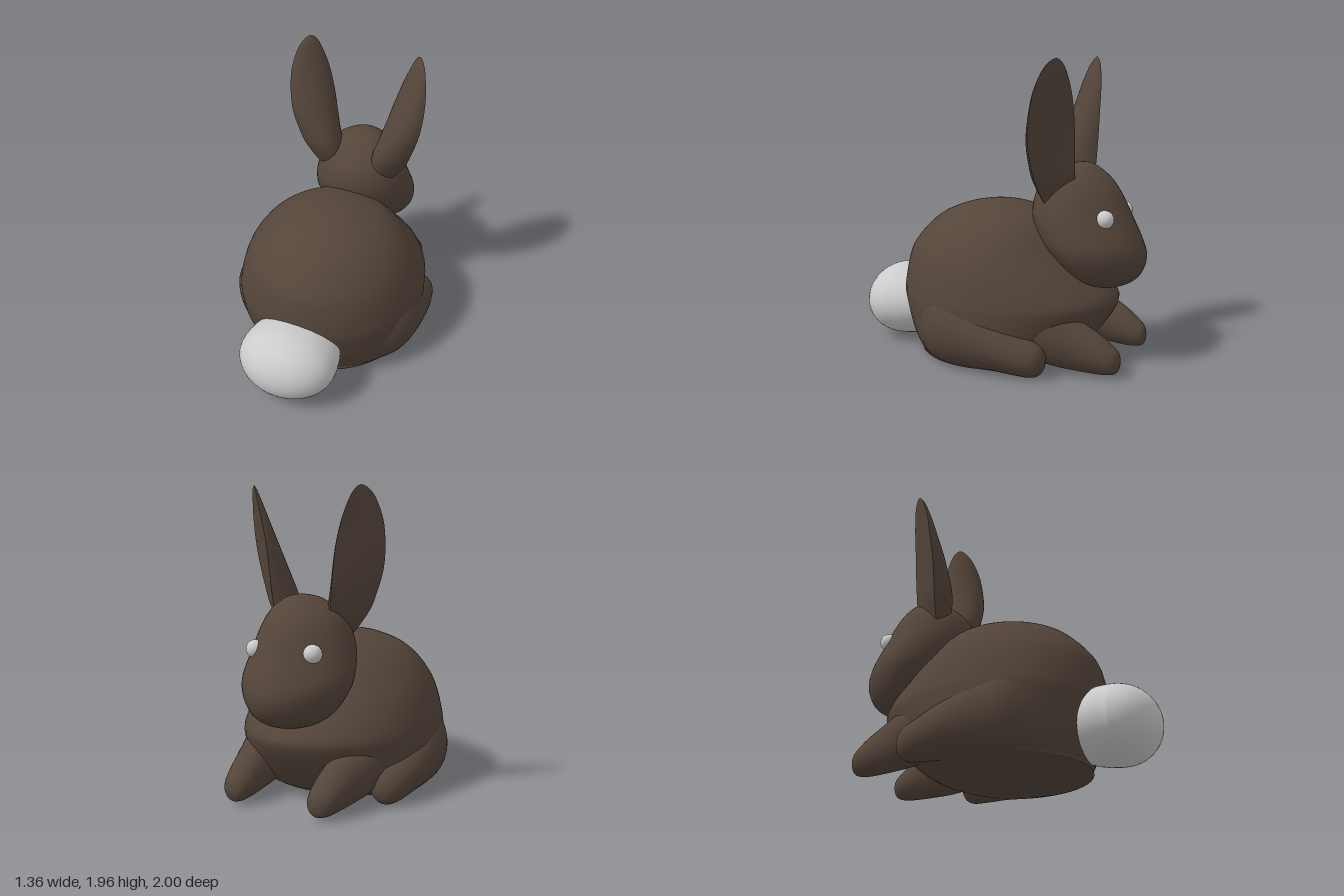
import * as THREE from 'three';
import { toCreasedNormals } from 'three/addons/utils/BufferGeometryUtils.js';

const FUR = new THREE.MeshStandardMaterial({ color: 0x54453a });
const GREY = new THREE.MeshStandardMaterial({ color: 0xcccccc });
const SIDES = 48;

// Smoothly interpolates rows of numbers (Catmull-Rom), giving `steps` rows per gap
function smoothRows(rows, steps) {
  const out = [];
  const row = (i) => rows[Math.min(Math.max(i, 0), rows.length - 1)];
  for (let i = 0; i < rows.length - 1; i++) {
    for (let s = 0; s < steps; s++) {
      const t = s / steps;
      out.push(row(i).map((b, k) => {
        const a = row(i - 1)[k], c = row(i + 1)[k], d = row(i + 2)[k];
        return b + 0.5 * t * (c - a + t * (2 * a - 5 * b + 4 * c - d + t * (3 * (b - c) + d - a)));
      }));
    }
  }
  out.push(rows[rows.length - 1]);
  return out;
}

// Skins a list of closed rings of [x, y, z]; side -1 mirrors the result in x
function loft(rings, side = 1) {
  const n = rings[0].length, pos = [], index = [];
  for (const ring of rings) for (const [x, y, z] of ring) pos.push(side * x, Math.max(y, 0), z);
  for (let i = 0; i < rings.length - 1; i++) {
    for (let j = 0; j < n; j++) {
      const a = i * n + j, b = i * n + (j + 1) % n, c = a + n, d = b + n;
      if (side > 0) index.push(a, c, b, b, c, d);
      else index.push(a, b, c, b, d, c);
    }
  }
  const geo = new THREE.BufferGeometry();
  geo.setAttribute('position', new THREE.Float32BufferAttribute(pos, 3));
  geo.setIndex(index);
  geo.computeVertexNormals();
  return geo;
}

// Horizontal egg slices: [y, back z, front z, half width, z of widest point]
function eggStack(rows, frontPower) {
  return loft(smoothRows(rows, 5).map(([y, zb, zf, w, zm]) =>
    Array.from({ length: SIDES }, (_, j) => {
      const a = (j / SIDES) * Math.PI * 2, c = Math.cos(a), s = Math.sin(a);
      const e = s < 0 ? 2 / frontPower : 1;
      return [
        Math.max(w, 0) * Math.sign(c) * Math.abs(c) ** e, y,
        zm + (s < 0 ? (zf - zm) : (zb - zm)) * Math.abs(s) ** e,
      ];
    })));
}

// Limb running forwards: [z, centre x, centre y, x radius, y radius]
function limb(rows, side) {
  return loft(smoothRows(rows, 5).map(([z, x, y, rx, ry]) =>
    Array.from({ length: 32 }, (_, j) => {
      const a = (j / 32) * Math.PI * 2;
      return [x + Math.max(rx, 0) * Math.cos(a), y + Math.max(ry, 0) * Math.sin(a), z];
    })), side);
}

// Ear with a flat front and a rounded back: [y, outer x, outer z, inner x, inner z, bulge]
function ear(rows, side) {
  const half = 16;
  const rings = smoothRows(rows, 5).map(([y, ox, oz, ix, iz, bulge]) => {
    const mx = (ox + ix) / 2, mz = (oz + iz) / 2, dx = (ox - ix) / 2, dz = (oz - iz) / 2;
    const len = Math.hypot(dx, dz) || 1;
    const ring = [];
    for (let j = 0; j <= half; j++) {
      const a = (j / half) * Math.PI, c = Math.cos(a), s = Math.sin(a) * bulge / len;
      ring.push([mx + dx * c - dz * s, y, mz + dz * c + dx * s]);
    }
    for (let j = 1; j < 6; j++) {
      const c = -1 + j / 3;
      ring.push([mx + dx * c, y, mz + dz * c]);
    }
    return ring;
  });
  return toCreasedNormals(loft(rings, side), 0.7);
}

export function createModel() {
  const model = new THREE.Group();
  const add = (name, geo, mat = FUR) => {
    const mesh = new THREE.Mesh(geo, mat);
    mesh.name = name;
    model.add(mesh);
    return mesh;
  };

  // Body with a flat underside and a chest pushed forwards
  add('body', eggStack([
    [0, 0.05, 0.05, 0, 0.05],
    [0, 0.5, -0.38, 0.48, 0],
    [0.03, 0.53, -0.5, 0.57, 0],
    [0.1, 0.56, -0.6, 0.62, 0],
    [0.2, 0.6, -0.7, 0.645, 0],
    [0.36, 0.65, -0.8, 0.645, 0],
    [0.45, 0.66, -0.79, 0.635, 0],
    [0.6, 0.64, -0.66, 0.595, 0],
    [0.72, 0.6, -0.54, 0.54, 0],
    [0.84, 0.5, -0.44, 0.45, 0],
    [0.92, 0.4, -0.36, 0.35, 0],
    [0.98, 0.26, -0.25, 0.22, 0],
    [1.01, 0.13, -0.13, 0.12, 0],
    [1.022, 0.0, 0.0, 0, 0],
  ], 2));

  // Head tapering to the nose
  add('head', eggStack([
    [0.5, -0.76, -0.76, 0, -0.76],
    [0.507, -0.7, -0.83, 0.1, -0.76],
    [0.54, -0.6, -0.91, 0.2, -0.73],
    [0.6, -0.5, -0.97, 0.28, -0.7],
    [0.7, -0.4, -1.0, 0.34, -0.66],
    [0.8, -0.31, -0.975, 0.36, -0.63],
    [0.95, -0.25, -0.905, 0.335, -0.56],
    [1.1, -0.27, -0.83, 0.285, -0.54],
    [1.2, -0.35, -0.755, 0.22, -0.55],
    [1.27, -0.45, -0.67, 0.125, -0.56],
    [1.292, -0.52, -0.62, 0.06, -0.57],
    [1.3, -0.57, -0.57, 0, -0.57],
  ], 1.75));

  // Tail ball, stretched into the rump
  const tailGeo = new THREE.SphereGeometry(1, 40, 28);
  const p = tailGeo.attributes.position;
  for (let i = 0; i < p.count; i++) {
    const z = p.getZ(i);
    p.setXYZ(i, p.getX(i) * 0.335, p.getY(i) * 0.25, z * (z < 0 ? 0.42 : 0.265));
  }
  tailGeo.computeVertexNormals();
  add('tail', tailGeo, GREY).position.set(0, 0.26, 0.735);

  for (const side of [1, -1]) {
    const prefix = side > 0 ? 'left' : 'right';

    // Haunch and hind foot
    add(prefix + 'HindLeg', limb([
      [0.46, 0.36, 0.25, 0, 0],
      [0.35, 0.38, 0.25, 0.15, 0.2],
      [0.2, 0.44, 0.26, 0.21, 0.26],
      [0, 0.47, 0.23, 0.21, 0.235],
      [-0.2, 0.49, 0.185, 0.185, 0.18],
      [-0.35, 0.51, 0.14, 0.14, 0.138],
      [-0.45, 0.515, 0.115, 0.105, 0.11],
      [-0.5, 0.515, 0.11, 0.06, 0.07],
      [-0.52, 0.515, 0.11, 0, 0],
    ], side));

    // Shoulder and front foot
    add(prefix + 'FrontLeg', limb([
      [0.1, 0.38, 0.34, 0, 0],
      [-0.1, 0.38, 0.34, 0.19, 0.19],
      [-0.3, 0.36, 0.31, 0.185, 0.21],
      [-0.5, 0.34, 0.24, 0.16, 0.2],
      [-0.65, 0.325, 0.185, 0.13, 0.165],
      [-0.8, 0.31, 0.135, 0.105, 0.125],
      [-0.88, 0.305, 0.105, 0.085, 0.09],
      [-0.92, 0.3, 0.095, 0.052, 0.06],
      [-0.937, 0.3, 0.095, 0, 0],
    ], side));

    add(prefix + 'Ear', ear([
      [1.04, 0.25, -0.42, 0.18, -0.53, 0.1],
      [1.08, 0.29, -0.405, 0.18, -0.56, 0.15],
      [1.2, 0.37, -0.385, 0.2, -0.585, 0.19],
      [1.3, 0.41, -0.375, 0.215, -0.59, 0.185],
      [1.45, 0.455, -0.37, 0.23, -0.595, 0.15],
      [1.6, 0.475, -0.385, 0.25, -0.595, 0.11],
      [1.75, 0.474, -0.41, 0.285, -0.59, 0.07],
      [1.88, 0.447, -0.455, 0.33, -0.572, 0.035],
      [1.94, 0.417, -0.495, 0.36, -0.55, 0.015],
      [1.962, 0.386, -0.525, 0.386, -0.525, 0],
    ], side));

    const eye = add(prefix + 'Eye', new THREE.SphereGeometry(0.058, 24, 16), GREY);
    eye.position.set(side * 0.205, 0.97, -0.788);
  }
  return model;
}
